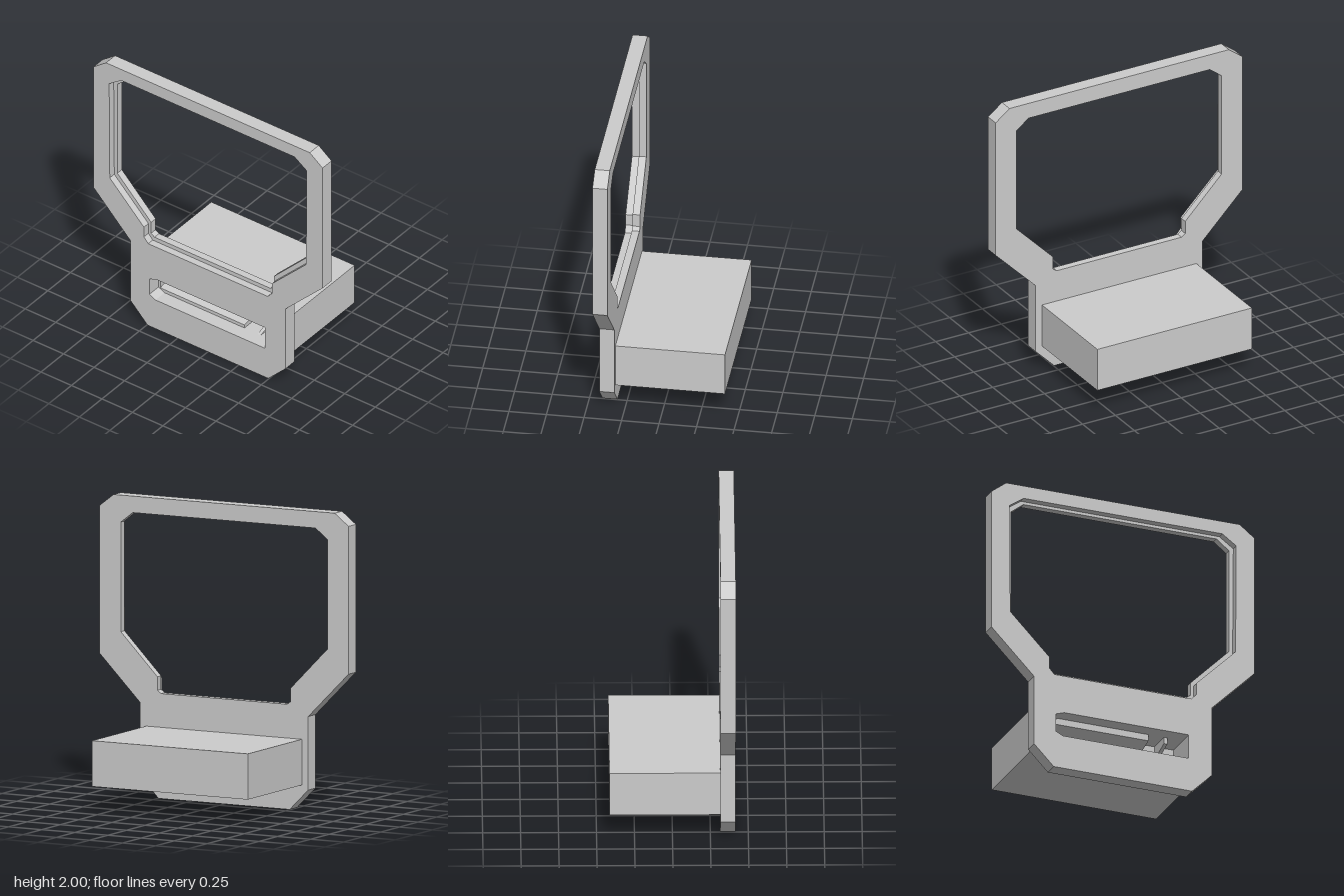
import * as THREE from 'three';

const material = new THREE.MeshStandardMaterial({ color: 0xcccccc, flatShading: true });

// Counter-clockwise outline: points of the +x half from top to bottom, mirrored to -x
const mirrored = half => [...half.map(([x, y]) => [-x, y]), ...[...half].reverse()];
const vectors = points => points.map(([x, y]) => new THREE.Vector2(x, y));

function part(name, geometry) {
  const mesh = new THREE.Mesh(geometry, material);
  mesh.name = name;
  return mesh;
}

// Plate with holes, extruded between two z positions
function plate(name, outline, holes, z0, z1) {
  const shape = new THREE.Shape(vectors(outline));
  shape.holes = holes.map(h => new THREE.Path(vectors(h)));
  const geometry = new THREE.ExtrudeGeometry(shape, { depth: z1 - z0, bevelEnabled: false });
  return part(name, geometry.translate(0, 0, z0));
}

// Bar along x with a (z, y) cross-section
function bar(name, section, x0, x1) {
  const shape = new THREE.Shape(vectors(section.map(([z, y]) => [-z, y])));
  const geometry = new THREE.ExtrudeGeometry(shape, { depth: x1 - x0, bevelEnabled: false });
  return part(name, geometry.rotateY(Math.PI / 2).translate(x0, 0, 0));
}

// Hollow box without its +z face
function openBox(name, x, y0, y1, z0, z1) {
  const geometry = new THREE.BoxGeometry(2 * x, y1 - y0, z1 - z0);
  const index = [...geometry.index.array];
  geometry.setIndex([...index.slice(0, 24), ...index.slice(30)]);
  geometry.clearGroups();
  return part(name, geometry.translate(0, (y0 + y1) / 2, (z0 + z1) / 2));
}

export function createModel() {
  const group = new THREE.Group();
  const back = 0.315, front = 0.415, step = 0.365, deep = 0.155;
  const low = 0.235, high = 0.405;

  const outline = mirrored([[0.835, 2], [0.94, 1.92], [0.94, 0.935], [0.635, 0.63], [0.635, 0.14], [0.495, 0]]);
  const wideOpening = mirrored([[0.71, 1.91], [0.81, 1.84], [0.805, 1.07], [0.525, 0.79], [0.525, 0.71], [0.49, 0.67]]);
  const narrowOpening = mirrored([[0.69, 1.89], [0.78, 1.82], [0.78, 1.09], [0.503, 0.81], [0.503, 0.72], [0.475, 0.7]]);
  const slot = [[-0.43, low], [0.47, low], [0.47, high], [-0.42, high], [-0.48, 0.385], [-0.48, 0.26]];

  // Frame in two layers, leaving a ledge around the opening
  group.add(plate('frontFrame', outline, [wideOpening, slot], step, front));
  group.add(plate('rearFrame', outline, [narrowOpening, slot], back, step));

  // Hollow housing behind the frame
  group.add(openBox('housing', 0.588, 0.17, 0.475, -0.415, back));

  // Long jaws that narrow inwards to a slit, closed at the right-hand end
  group.add(bar('upperJaw', [[back, high], [deep, high], [deep, 0.32], [back, 0.36]], -0.465, 0.225));
  group.add(bar('lowerJaw', [[back, low], [deep, low], [deep, 0.29], [back, 0.26]], -0.465, 0.225));
  group.add(bar('jawEnd', [[back, low], [deep, low], [deep, high], [back, high]], -0.48, -0.465));

  // Pocket beside the jaws: channel with floor, back and ceiling, plus an end wall
  const wall = 0.01;
  group.add(bar('pocket', [
    [back, low], [back, low - wall], [deep - wall, low - wall], [deep - wall, high + wall],
    [back, high + wall], [back, high], [deep, high], [deep, low],
  ], 0.225, 0.47));
  group.add(bar('pocketEnd', [[back, low], [deep, low], [deep, high], [back, high]], 0.47, 0.48));

  // Thin pair of ribs inside the pocket
  group.add(bar('upperRib', [[back, high], [deep, high], [deep, 0.31], [back, 0.36]], 0.335, 0.36));
  group.add(bar('lowerRib', [[back, low], [deep, low], [deep, 0.29]], 0.335, 0.36));
  return group;
}
